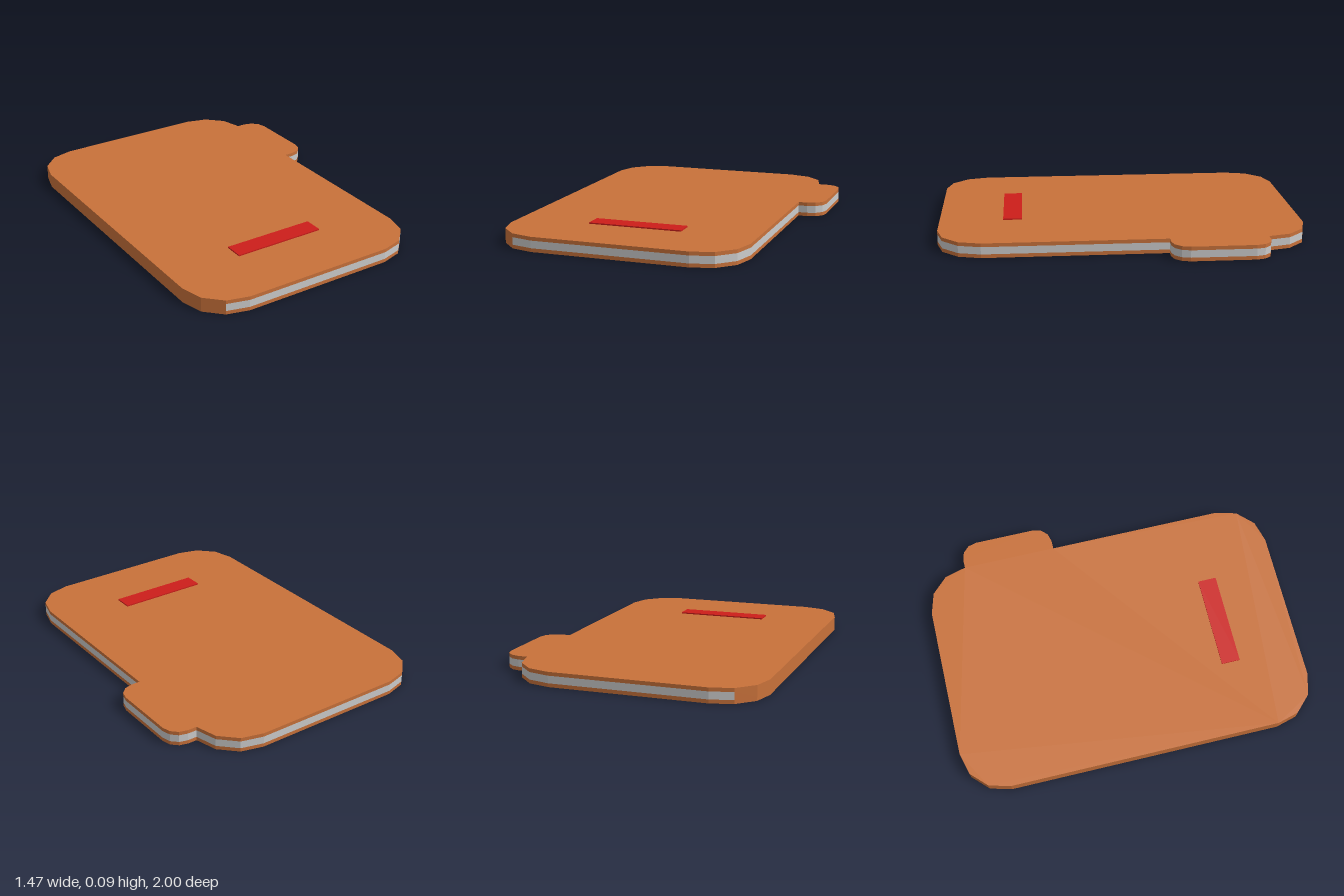
import * as THREE from 'three';

const SPINE_X = -0.62; // where the spine meets the pages

// Corner made of three straight facets, from angle a (degrees) through 90 more
function corner(cx, cy, r, a) {
  return [0, 30, 60, 90].map((d) => {
    const t = THREE.MathUtils.degToRad(a + d);
    return new THREE.Vector2(cx + r * Math.cos(t), cy + r * Math.sin(t));
  });
}

// Plan outline, counter-clockwise, with plan y = -z
function outline() {
  return [
    ...corner(0.355, -0.76, 0.24, -90),
    // index tab on the model's left edge
    new THREE.Vector2(0.595, 0.23),
    ...corner(0.645, 0.322, 0.092, -90),
    ...corner(0.645, 0.668, 0.092, 0),
    new THREE.Vector2(0.595, 0.76),
    ...corner(0.355, 0.76, 0.24, 0).slice(1),
    ...corner(-0.498, 0.76, 0.24, 90),
    ...corner(-0.498, -0.76, 0.24, 180),
  ];
}

// Flat slab lying between heights y0 and y1
function slab(name, points, y0, y1, material) {
  const geometry = new THREE.ExtrudeGeometry(new THREE.Shape(points), { depth: y1 - y0, bevelEnabled: false });
  geometry.rotateX(-Math.PI / 2).translate(0, y0, 0);
  const mesh = new THREE.Mesh(geometry, material);
  mesh.name = name;
  return mesh;
}

export function createModel() {
  const group = new THREE.Group();
  group.name = 'book';
  const leather = new THREE.MeshStandardMaterial({ color: 0xc8713a, flatShading: true });
  const paper = new THREE.MeshStandardMaterial({ color: 0xcccccc, flatShading: true });
  const red = new THREE.MeshStandardMaterial({ color: 0xcc1e1a, flatShading: true });

  const full = outline();
  const pagePoints = full.filter((p) => p.x > SPINE_X - 0.01);
  const spinePoints = full.filter((p) => p.x < SPINE_X + 0.01);

  // Covers, with pages and spine between them
  group.add(slab('bottomCover', full, 0, 0.02, leather));
  group.add(slab('pages', pagePoints, 0.02, 0.06, paper));
  group.add(slab('spine', spinePoints, 0.02, 0.06, leather));
  group.add(slab('topCover', full, 0.06, 0.08, leather));

  // Raised label strip on the top cover
  const label = new THREE.Mesh(new THREE.BoxGeometry(0.518, 0.012, 0.104), red);
  label.name = 'labelStrip';
  label.position.set(-0.072, 0.081, 0.597);
  group.add(label);

  return group;
}
